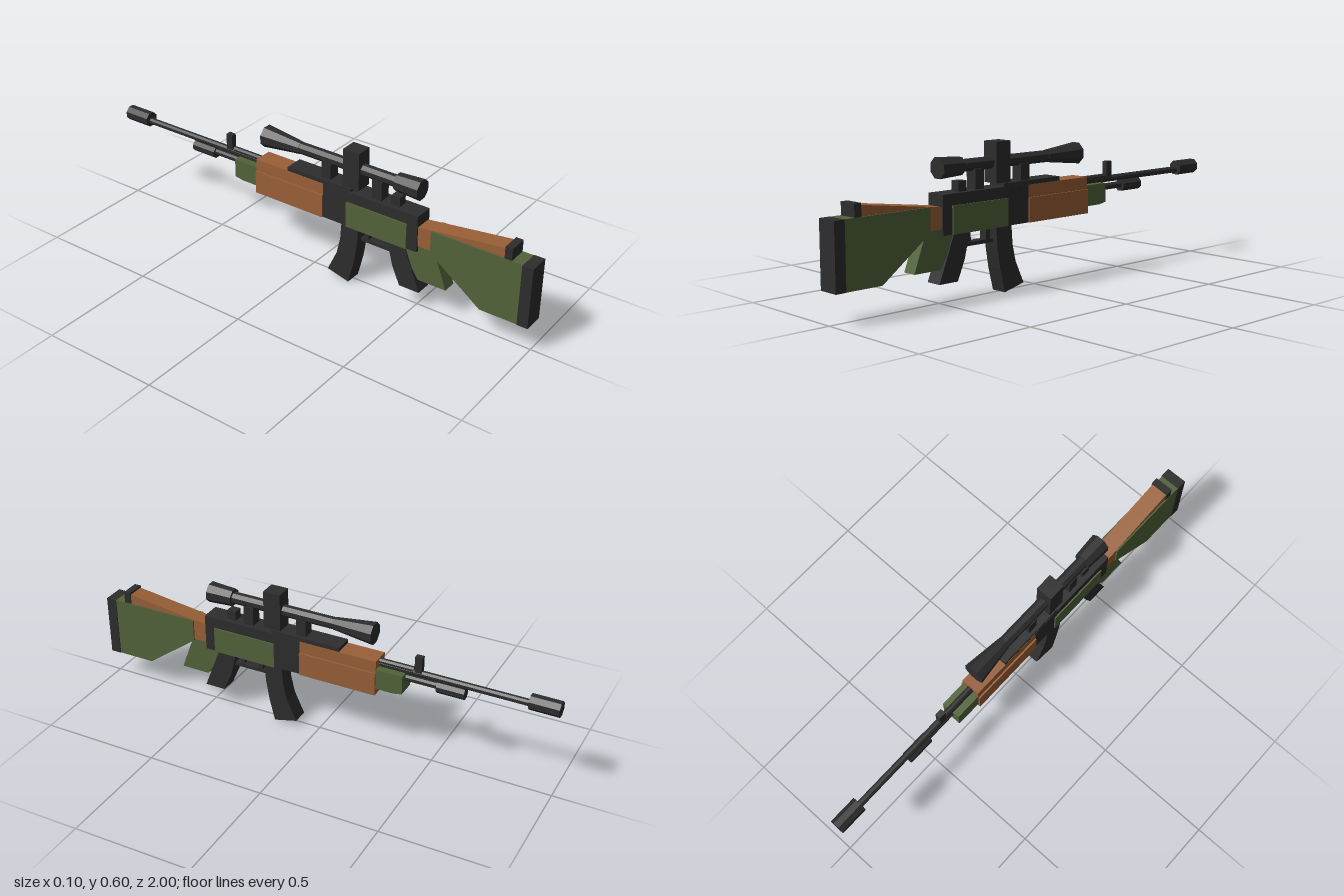
import * as THREE from 'three';

export function createModel() {
  const model = new THREE.Group();
  const paint = (name, color) => {
    const m = new THREE.MeshStandardMaterial({ color });
    m.name = name;
    return m;
  };
  const black = paint('gunmetal', 0x2d2d2d);
  const green = paint('olive', 0x52633a);
  const wood = paint('wood', 0x995f37);

  const add = (name, geometry, material) => {
    const mesh = new THREE.Mesh(geometry, material);
    mesh.name = name;
    model.add(mesh);
    return mesh;
  };
  // Box between two z and two y limits, centred on x = 0
  const box = (name, material, half, z0, z1, y0, y1) =>
    add(name, new THREE.BoxGeometry(half * 2, y1 - y0, Math.abs(z1 - z0)), material)
      .position.set(0, (y0 + y1) / 2, (z0 + z1) / 2);
  // Side profile of [z, y] points, given a width across x
  const profile = (name, material, half, points) => {
    const shape = new THREE.Shape(points.map(([z, y]) => new THREE.Vector2(z, y)));
    const g = new THREE.ExtrudeGeometry(shape, { depth: half * 2, bevelEnabled: false });
    g.translate(0, 0, -half).rotateY(-Math.PI / 2);
    return add(name, g, material);
  };
  // Eight-sided rod along z with flat sides up; radii are measured to the flats
  const rod = (name, y, zBack, zFront, rBack, rFront = rBack) => {
    const k = 1 / Math.cos(Math.PI / 8);
    const g = new THREE.CylinderGeometry(rBack * k, rFront * k, zBack - zFront, 8).toNonIndexed();
    g.rotateY(Math.PI / 8).rotateX(Math.PI / 2);
    g.computeVertexNormals();
    add(name, g, black).position.set(0, y, (zBack + zFront) / 2);
  };

  // Stock
  box('buttPlate', black, 0.045, 0.955, 1, 0.12, 0.38);
  profile('stock', green, 0.042, [[0.955, 0.12], [0.955, 0.38], [0.57, 0.38], [0.57, 0.285], [0.795, 0.12]]);
  profile('cheekRest', wood, 0.036, [[0.88, 0.37], [0.88, 0.422], [0.5, 0.372], [0.5, 0.29], [0.575, 0.29]]);
  box('cheekRestCap', black, 0.04, 0.88, 0.91, 0.37, 0.43);

  // Grips
  profile('rearGrip', green, 0.03, [[0.57, 0.3], [0.595, 0.255], [0.64, 0.135], [0.515, 0.135], [0.43, 0.265], [0.5, 0.3]]);
  profile('pistolGrip', black, 0.035, [[0.45, 0.27], [0.525, 0.08], [0.435, 0.08], [0.4, 0.16], [0.372, 0.27]]);

  // Receiver
  box('receiver', black, 0.042, 0.07, 0.51, 0.265, 0.42);
  box('receiverCover', black, 0.04, -0.105, 0.2, 0.365, 0.433);
  for (const side of [-1, 1]) {
    add('receiverPanel', new THREE.BoxGeometry(0.008, 0.11, 0.28), green)
      .position.set(side * 0.044, 0.32, 0.325);
  }
  box('rearSight', black, 0.02, 0.375, 0.415, 0.41, 0.46);

  // Trigger and guard
  box('triggerGuard', black, 0.018, 0.24, 0.4, 0.205, 0.22);
  box('guardPost', black, 0.018, 0.255, 0.275, 0.205, 0.27);
  box('trigger', black, 0.008, 0.345, 0.36, 0.215, 0.27);

  // Curved magazine
  profile('magazine', black, 0.035, [
    [0.237, 0.27], [0.232, 0.187], [0.217, 0.096], [0.193, 0.0],
    [0.092, 0.025], [0.135, 0.118], [0.151, 0.187], [0.157, 0.27],
  ]);

  // Handguard
  box('lowerHandguard', wood, 0.048, -0.265, 0.07, 0.265, 0.365);
  box('upperHandguard', wood, 0.041, -0.265, 0.07, 0.365, 0.416);
  profile('forend', green, 0.041, [[-0.265, 0.38], [-0.265, 0.293], [-0.34, 0.293], [-0.378, 0.3], [-0.378, 0.38]]);

  // Barrel group
  rod('barrel', 0.39, -0.25, -0.9, 0.013);
  rod('muzzleBrake', 0.397, -0.88, -1, 0.03);
  rod('gasTube', 0.4, -0.25, -0.41, 0.012);
  rod('lowerTube', 0.357, -0.37, -0.52, 0.013);
  rod('lowerTubeEnd', 0.353, -0.51, -0.625, 0.023);
  box('frontSight', black, 0.012, -0.445, -0.415, 0.385, 0.465);

  // Scope
  rod('scopeEyepiece', 0.515, 0.5, 0.39, 0.04, 0.034);
  rod('scopeTube', 0.515, 0.4, -0.08, 0.023);
  rod('scopeObjective', 0.515, -0.065, -0.24, 0.024, 0.043);
  box('scopeTurret', black, 0.035, 0.16, 0.235, 0.435, 0.597);
  for (const z of [0.312, 0.072]) box('scopeMount', black, 0.025, z - 0.022, z + 0.022, 0.41, 0.5);

  return model;
}
